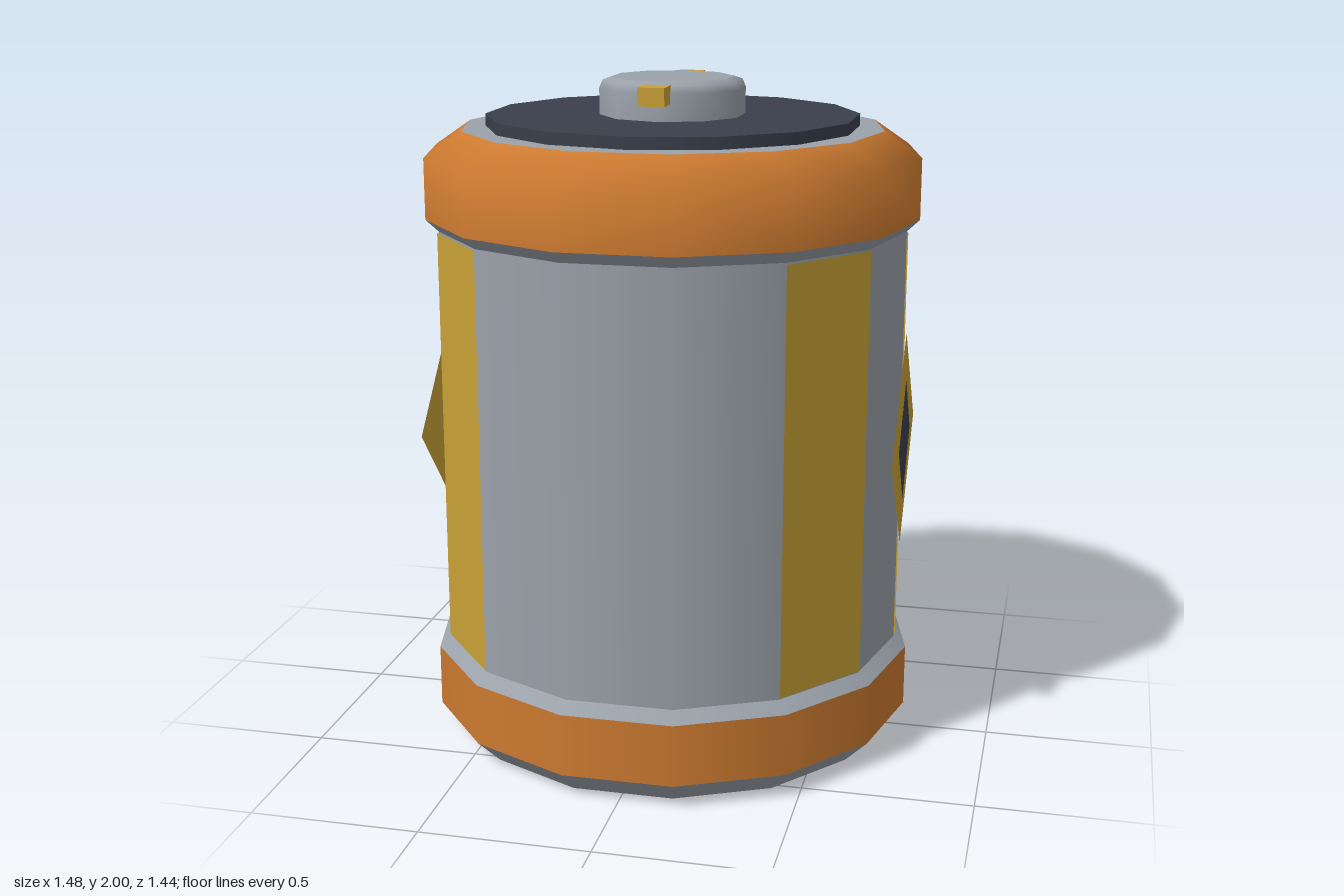
import * as THREE from 'three';

const SIDES = 14;
const STEP = (Math.PI * 2) / SIDES;

function material(name, color, side = THREE.FrontSide) {
  const m = new THREE.MeshStandardMaterial({ color, side });
  m.name = name;
  return m;
}

export function createModel() {
  const grey = material('steelGrey', 0x9aa1a9);
  const orange = material('orange', 0xcc7a30);
  const gold = material('gold', 0xcaa236, THREE.DoubleSide);
  const dark = material('darkSlate', 0x3a3f4c, THREE.DoubleSide);

  const model = new THREE.Group();
  model.name = 'barrel';

  function add(name, geometry, mat, parent = model) {
    const mesh = new THREE.Mesh(geometry, mat);
    mesh.name = name;
    parent.add(mesh);
    return mesh;
  }

  // Turned band with a corner pointing along +x; profile is [radius, height] from bottom to top
  function band(name, profile, mat) {
    const points = profile.map(([r, y]) => new THREE.Vector2(r, y));
    return add(name, new THREE.LatheGeometry(points, SIDES, Math.PI / 2), mat);
  }

  // Barrel, bottom to top: separate bands keep the edges between them crisp
  band('base', [[0, 0], [0.665, 0]], grey);
  band('baseBevel', [[0.665, 0], [0.74, 0.075]], grey);
  band('lowerRim', [[0.74, 0.075], [0.74, 0.262]], orange);
  band('lowerChamfer', [[0.74, 0.262], [0.703, 0.295]], grey);
  band('body', [[0.703, 0.295], [0.703, 1.565]], grey);
  band('upperChamfer', [[0.703, 1.565], [0.74, 1.6]], grey);
  band('upperRim', [[0.74, 1.6], [0.74, 1.78], [0.63, 1.855]], orange);
  band('topRing', [[0.63, 1.855], [0, 1.855]], grey);

  // Dark lid
  add('lid', new THREE.CylinderGeometry(0.555, 0.555, 0.035, SIDES), dark).position.y = 1.8725;

  // Knob with a rounded shoulder and a flat top
  const knob = new THREE.Group();
  knob.name = 'knob';
  model.add(knob);
  const side = [[0.217, 1.89], [0.217, 1.968], [0.207, 1.991], [0.18, 2]];
  add('knobSide', new THREE.LatheGeometry(side.map(([r, y]) => new THREE.Vector2(r, y)), 10), grey, knob);
  const knobTop = add('knobTop', new THREE.CircleGeometry(0.18, 10, Math.PI / 2), grey, knob);
  knobTop.rotation.x = -Math.PI / 2;
  knobTop.rotation.z = Math.PI;
  knobTop.position.y = 2;

  // Gold tabs at the front and back of the knob
  for (const s of [1, -1]) {
    add(s > 0 ? 'frontTab' : 'backTab', new THREE.BoxGeometry(0.078, 0.053, 0.1), gold, knob)
      .position.set(0, 1.966, s * 0.227);
  }

  // Gold stripes, each covering one facet of the body
  const r = 0.707;
  for (const facet of [1, 5, 9, 13]) {
    const a = (facet + 0.5) * STEP;
    const d = r * Math.cos(STEP / 2);
    const stripe = add('stripe', new THREE.PlaneGeometry(2 * r * Math.sin(STEP / 2), 1.26), gold);
    stripe.position.set(d * Math.cos(a), 0.93, d * Math.sin(a));
    stripe.rotation.y = Math.PI / 2 - a;
  }

  // Diamond badges on the left and right sides
  for (const s of [1, -1]) {
    const badge = new THREE.Group();
    badge.name = s > 0 ? 'leftBadge' : 'rightBadge';
    badge.position.set(s * 0.712, 0.93, 0);
    badge.rotation.y = s * Math.PI / 2;
    model.add(badge);
    add('badgePlate', new THREE.CircleGeometry(1, 4), gold, badge).scale.set(0.297, 0.33, 1);
    const inset = add('badgeInset', new THREE.CircleGeometry(1, 4), dark, badge);
    inset.scale.set(0.149, 0.187, 1);
    inset.position.z = 0.004;
  }

  return model;
}
